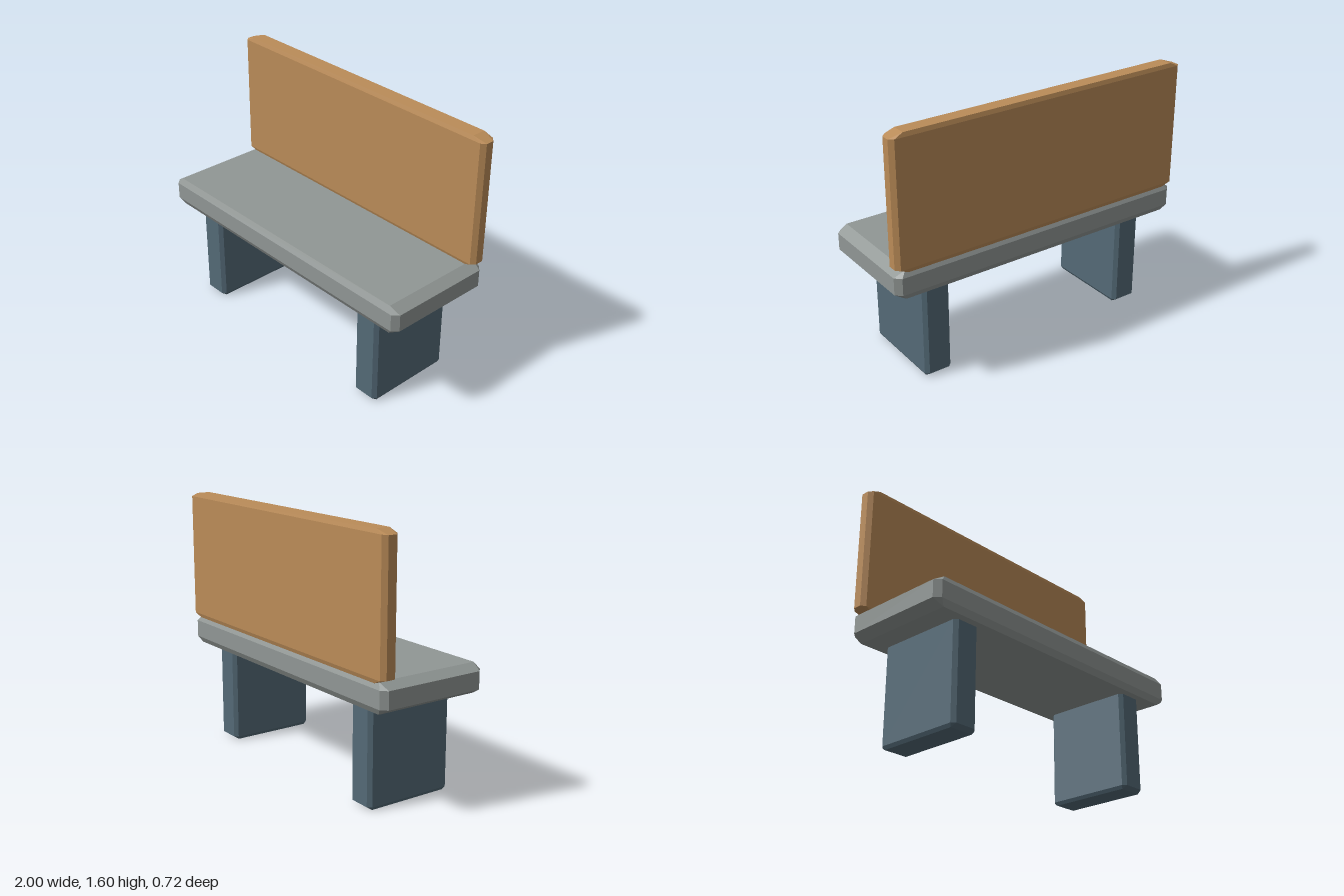
import * as THREE from 'three';
import { ConvexGeometry } from 'three/addons/geometries/ConvexGeometry.js';

const paint = (name, color) => {
  const m = new THREE.MeshStandardMaterial({ color });
  m.name = name;
  return m;
};

// Box with cut edges; each pair of faces has its own insets from the outer size.
function chamferedBox([w, h, d], { front, side, top }) {
  const points = [];
  for (const sx of [-1, 1]) for (const sy of [-1, 1]) for (const sz of [-1, 1]) {
    const add = (ix, iy, iz) => points.push(
      new THREE.Vector3(sx * (w / 2 - ix), sy * (h / 2 - iy), sz * (d / 2 - iz)));
    add(front[0], front[1], 0);
    add(0, side[0], side[1]);
    add(top[0], 0, top[1]);
  }
  return new ConvexGeometry(points);
}

export function createModel() {
  const bench = new THREE.Group();
  bench.name = 'bench';
  const wood = paint('wood', 0xbb8c58);
  const stone = paint('greyStone', 0x919795);
  const slate = paint('blueSlate', 0x546a77);

  const addPart = (name, geometry, material, x, y, z) => {
    const mesh = new THREE.Mesh(geometry, material);
    mesh.name = name;
    mesh.position.set(x, y, z);
    bench.add(mesh);
  };

  // Seat slab
  addPart('seat', chamferedBox([2, 0.18, 0.71],
    { front: [0.035, 0.037], side: [0.037, 0.035], top: [0.065, 0.02] }),
  stone, 0, 0.7, 0.004);

  // Upright back panel at the rear edge
  addPart('backrest', chamferedBox([2, 0.813, 0.102],
    { front: [0.025, 0.025], side: [0.027, 0.025], top: [0.08, 0.008] }),
  wood, 0, 1.189, -0.307);

  // Two slab legs
  const leg = chamferedBox([0.176, 0.635, 0.575],
    { front: [0.022, 0.02], side: [0.02, 0.022], top: [0.012, 0.03] });
  addPart('leftLeg', leg, slate, 0.71, 0.3175, 0.006);
  addPart('rightLeg', leg, slate, -0.712, 0.3175, 0.006);

  return bench;
}
